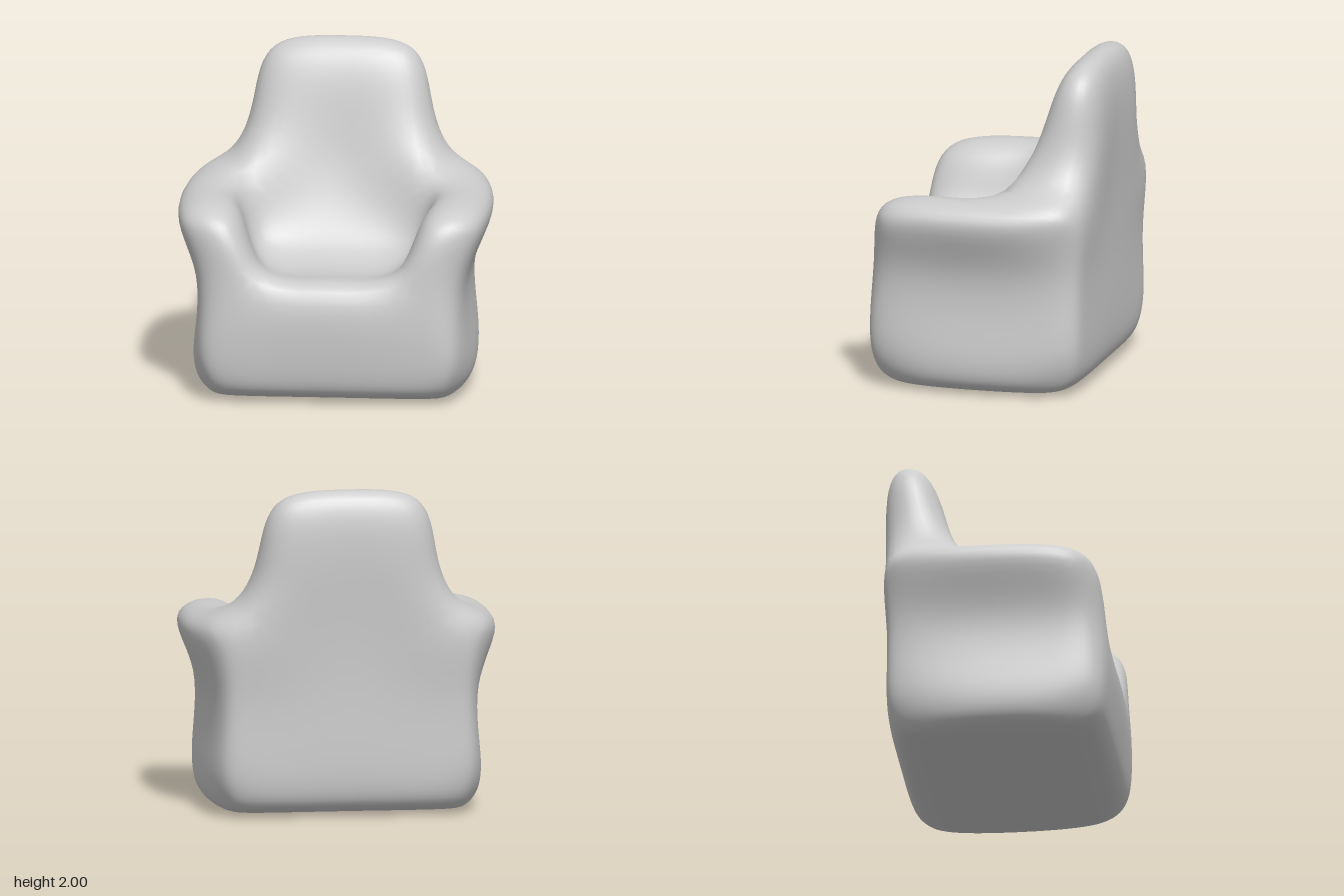
import * as THREE from 'three';

// Surface points on a coarse grid: x lines (centre, inner arm, outer arm, mirrored),
// z lines (back, backrest front, mid seat, front), y layers (bottom to backrest top).
const SEAT = {
  1: [[0, 0.815, -0.02], [0.45, 0.87, -0.03]],
  2: [[0, 0.73, 0.32], [0.43, 0.79, 0.3]],
  3: [[0, 0.705, 0.66], [0.46, 0.775, 0.655]],
};
const ARMS = [
  [[0, 1.22, -0.67], [0.61, 1.25, -0.645], [0.82, 1.11, -0.575]],
  [[0, 1.2, -0.24], [0.59, 1.235, -0.14], [0.925, 1.12, -0.26]],
  [[0, 0, 0], [0.6, 1.155, 0.28], [0.925, 1.12, 0.29]],
  [[0, 0, 0], [0.62, 1.1, 0.59], [0.83, 1.07, 0.565]],
];
const BACKREST = [
  [[[0, 1.6, -0.69], [0.47, 1.6, -0.65]], [[0, 1.6, -0.33], [0.47, 1.6, -0.36]]],
  [[[0, 1.94, -0.645], [0.39, 1.905, -0.625]], [[0, 1.935, -0.45], [0.39, 1.895, -0.46]]],
];

// Box-shaped lower body with inset corners and a lifted bottom rim
function basePoint(m, j, k) {
  const end = k === 0 || k === 3;
  let x = [0, 0.55, [0.785, 0.84, 0.825][j]][m];
  let z = [[-0.58, -0.66, -0.66][j], -0.26, 0.29, [0.61, 0.695, 0.68][j]][k];
  let y = [0, 0.28, 0.75][j];
  if (j === 0 && (m === 2 || end)) y = m === 2 && end ? 0.065 : 0.05;
  if (end && m === 1) z *= 0.99;
  if (end && m === 2) {
    x -= 0.07;
    z *= 0.89;
  }
  return [x, y, z];
}

function surfacePoint(i, j, k) {
  const m = Math.abs(i - 2);
  let p;
  if (j > 3) p = BACKREST[j - 4][k][m];
  else if (j === 3) p = ARMS[k][m];
  else if (j === 2 && k > 0 && m < 2) p = SEAT[k][m];
  else p = basePoint(m, j, k);
  return new THREE.Vector3(i < 2 ? -p[0] : p[0], p[1], p[2]);
}

// Which grid cells are filled: full base, two arms, backrest
function solid([x, y, z]) {
  if (x < 0 || x > 3 || y < 0 || y > 4 || z < 0 || z > 2) return false;
  if (y < 2) return true;
  const arm = x === 0 || x === 3;
  return y === 2 ? arm || z === 0 : !arm && z === 0;
}

// Outer quads of the filled cells
function buildCage() {
  const points = [], quads = [], ids = new Map();
  const vertex = (c) => {
    const key = c.join();
    if (!ids.has(key)) {
      ids.set(key, points.length);
      points.push(surfacePoint(...c));
    }
    return ids.get(key);
  };
  for (let x = 0; x < 4; x++) for (let y = 0; y < 5; y++) for (let z = 0; z < 3; z++) {
    const cell = [x, y, z];
    if (!solid(cell)) continue;
    for (let a = 0; a < 3; a++) for (const s of [0, 1]) {
      const next = [...cell];
      next[a] += s ? 1 : -1;
      if (solid(next)) continue;
      const quad = [[0, 0], [1, 0], [1, 1], [0, 1]].map(([u, v]) => {
        const c = [...cell];
        c[a] += s;
        c[(a + 1) % 3] += u;
        c[(a + 2) % 3] += v;
        return vertex(c);
      });
      quads.push(s ? quad : quad.reverse());
    }
  }
  return { points, quads };
}

// Where each vertex ends up on the fully smoothed surface
function limitPoints({ points, quads }) {
  const count = points.map(() => 0);
  const sum = points.map(() => new THREE.Vector3());
  for (const q of quads) q.forEach((v, i) => {
    count[v]++;
    sum[v].addScaledVector(points[q[(i + 1) % 4]], 2)
      .addScaledVector(points[q[(i + 3) % 4]], 2)
      .add(points[q[(i + 2) % 4]]);
  });
  return sum.map((s, v) => {
    const n = count[v];
    return s.addScaledVector(points[v], n * n).divideScalar(n * (n + 5));
  });
}

// One round of quad smoothing
function subdivide({ points, quads }) {
  const out = points.map(() => new THREE.Vector3());
  const count = points.map(() => 0);
  const edges = new Map(), result = [];
  const centres = quads.map((q) => {
    const c = new THREE.Vector3();
    q.forEach((v) => c.addScaledVector(points[v], 0.25));
    out.push(c);
    return out.length - 1;
  });
  // Shared edge point; each of the two quads adds its centre once
  const edgeId = (a, b, centre) => {
    const key = a < b ? a + '_' + b : b + '_' + a;
    if (!edges.has(key)) {
      edges.set(key, out.length);
      out.push(points[a].clone().add(points[b]).multiplyScalar(0.25));
    }
    const id = edges.get(key);
    if (centre) out[id].addScaledVector(centre, 0.25);
    return id;
  };
  quads.forEach((q, f) => {
    const centre = out[centres[f]];
    q.forEach((v, i) => {
      const after = q[(i + 1) % 4], before = q[(i + 3) % 4];
      count[v]++;
      out[v].add(centre).add(points[v])
        .addScaledVector(points[after], 0.5).addScaledVector(points[before], 0.5);
      result.push([v, edgeId(v, after, centre), centres[f], edgeId(before, v)]);
    });
  });
  points.forEach((p, v) => {
    const n = count[v];
    out[v].divideScalar(n).addScaledVector(p, n - 3).divideScalar(n);
  });
  return { points: out, quads: result };
}

export function createModel() {
  // Adjust the cage so the smooth surface passes close to the chosen points
  let mesh = buildCage();
  const targets = mesh.points.map((p) => p.clone());
  for (let n = 0; n < 8; n++) {
    const limit = limitPoints(mesh);
    mesh.points.forEach((p, v) => p.add(targets[v]).sub(limit[v]));
  }
  for (let n = 0; n < 3; n++) mesh = subdivide(mesh);

  const geometry = new THREE.BufferGeometry().setFromPoints(limitPoints(mesh));
  geometry.setIndex(mesh.quads.flatMap(([a, b, c, d]) => [a, b, c, a, c, d]));

  // Centre it and stand it on the ground
  geometry.center();
  geometry.computeBoundingBox();
  geometry.translate(0, -geometry.boundingBox.min.y, 0);
  geometry.computeVertexNormals();

  const armchair = new THREE.Mesh(geometry, new THREE.MeshStandardMaterial({ color: 0xcccccc }));
  armchair.name = 'upholsteredBody';
  const group = new THREE.Group();
  group.name = 'armchair';
  group.add(armchair);
  return group;
}
